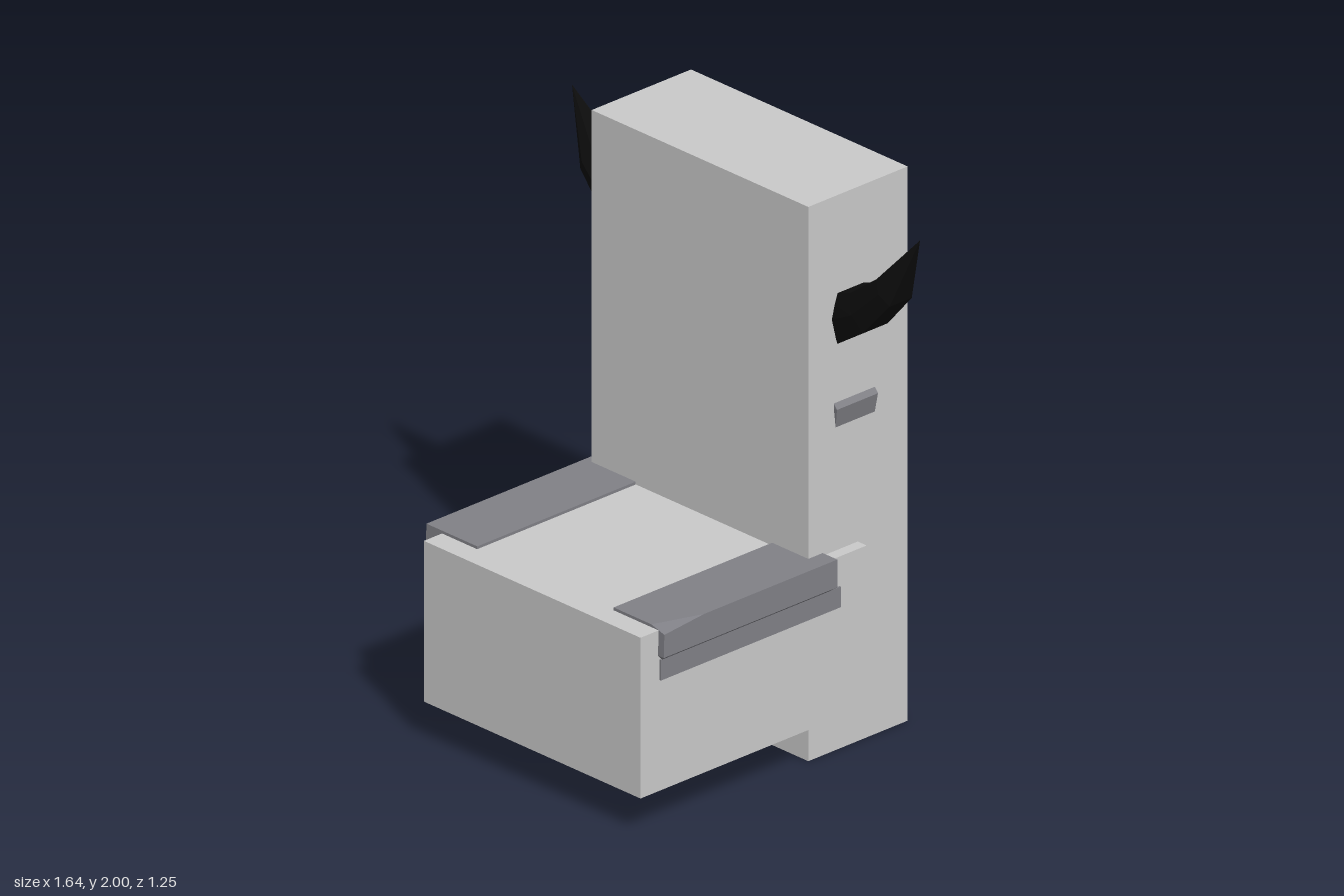
import * as THREE from 'three';
import { ConvexGeometry } from 'three/addons/geometries/ConvexGeometry.js';

const flat = (name, color) => Object.assign(new THREE.MeshStandardMaterial({ color }), { name });

export function createModel() {
  const stone = flat('pale stone', 0xc9c9c9);
  const trim = flat('slate trim', 0x808086);
  const black = flat('horn black', 0x0c0c0c);
  const model = new THREE.Group();
  model.name = 'hornedThrone';

  const add = (name, geometry, material, parent = model) => {
    const mesh = new THREE.Mesh(geometry, material);
    mesh.name = name;
    parent.add(mesh);
    return mesh;
  };

  // box given by its low and high corners
  const block = (name, x0, x1, y0, y1, z0, z1, material) =>
    add(name, new THREE.BoxGeometry(x1 - x0, y1 - y0, z1 - z0), material)
      .position.set((x0 + x1) / 2, (y0 + y1) / 2, (z0 + z1) / 2);

  // faceted solid around a few corner points
  const hull = (points, side = 1) =>
    new ConvexGeometry(points.map(([x, y, z]) => new THREE.Vector3(x * side, y, z)));

  // rectangle of corners at height y
  const rect = (x0, x1, y, z0, z1) =>
    [[x0, y, z0], [x1, y, z0], [x1, y, z1], [x0, y, z1]];

  // main blocks, slightly offset from each other
  block('backrest', -0.53, 0.493, 0, 2, -0.623, -0.175, stone);
  block('seat', -0.488, 0.535, 0.14, 0.72, -0.398, 0.622, stone);

  // horn ring: elongated hexagon between a lower and an upper point
  const ring = ([xl, yl, xu, yu, w]) => {
    const z = -0.365, xm = (xl + xu) / 2, ym = (yl + yu) / 2;
    return [
      [xm, ym, z - w], [xm, ym, z + w],
      [xl, yl, z - 0.7 * w], [xl, yl, z + 0.7 * w],
      [xu, yu, z - 0.7 * w], [xu, yu, z + 0.7 * w],
    ];
  };
  const hornRings = [
    [0.45, 1.435, 0.40, 1.615, 0.086],
    [0.61, 1.54, 0.55, 1.665, 0.081],
    [0.73, 1.675, 0.67, 1.755, 0.072],
  ].map(ring);
  hornRings.push([[0.822, 1.93, -0.365]]);

  for (const side of [1, -1]) {
    const label = side > 0 ? 'left' : 'right';

    // curved horn made of tapering segments
    const horn = new THREE.Group();
    horn.name = label + 'Horn';
    model.add(horn);
    for (let i = 0; i < hornRings.length - 1; i++) {
      add('hornSegment', hull([...hornRings[i], ...hornRings[i + 1]], side), black, horn);
    }

    // armrest slab with bevelled underside; the left one has a worn front corner
    const top = rect(0.322, 0.562, 0.73, -0.24, 0.54);
    if (side > 0) top.splice(2, 1, [0.562, 0.73, 0.36], [0.50, 0.73, 0.54], [0.562, 0.713, 0.54]);
    add(label + 'Armrest', hull([
      ...top,
      ...rect(0.322, 0.562, 0.63, -0.24, 0.543),
      ...rect(0.34, 0.542, 0.614, -0.22, 0.53),
    ], side), trim);

    // ledge under the armrest
    add(label + 'Ledge', hull([
      ...rect(0.36, 0.542, 0.614, -0.275, 0.537),
      ...rect(0.36, 0.542, 0.54, -0.275, 0.537),
    ], side), trim);

    // bracket sloping inward below the ledge
    add(label + 'Bracket', hull([
      ...rect(0.36, 0.535, 0.541, -0.27, 0.53),
      ...rect(0.36, 0.488, 0.30, -0.22, 0.47),
    ], side), trim);

    // small wedge knob on the side of the backrest
    add(label + 'SideKnob', hull([
      ...rect(0.42, 0.490, 1.257, -0.475, -0.29),
      ...rect(0.42, 0.508, 1.235, -0.475, -0.29),
      ...rect(0.42, 0.490, 1.15, -0.475, -0.30),
    ], side), trim);
  }

  return model;
}
